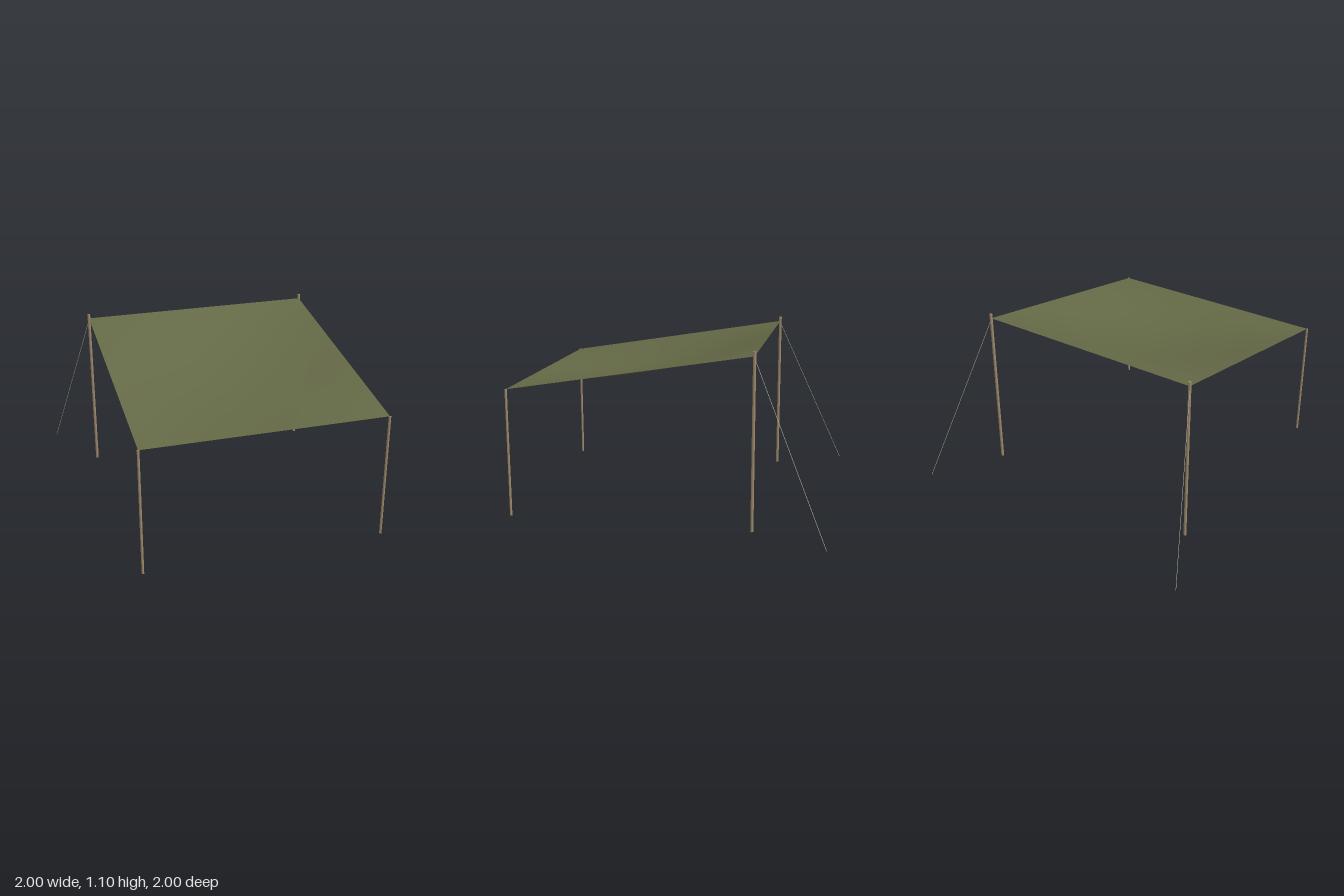
import * as THREE from 'three';

const HALF_W = 0.765, Z_FRONT = 0.99, Z_BACK = -0.54;
const Y_FRONT = 0.815, Y_BACK = 1.07, SAG = 0.092;

export function createModel() {
  const cloth = new THREE.MeshStandardMaterial({ color: 0x646946, side: THREE.DoubleSide });
  cloth.name = 'olive cloth';
  const wood = new THREE.MeshStandardMaterial({ color: 0xa08a6c });
  wood.name = 'tan wood';
  const cord = new THREE.MeshStandardMaterial({ color: 0xc0b8a2 });
  cord.name = 'pale cord';

  const model = new THREE.Group();
  model.name = 'tarpShelter';

  // A round bar between two points
  const bar = (name, from, to, radius, sides, material) => {
    const dir = to.clone().sub(from);
    const mesh = new THREE.Mesh(new THREE.CylinderGeometry(radius, radius, dir.length(), sides), material);
    mesh.position.copy(from).add(to).multiplyScalar(0.5);
    mesh.quaternion.setFromUnitVectors(new THREE.Vector3(0, 1, 0), dir.normalize());
    mesh.name = name;
    model.add(mesh);
  };

  // Sloping sheet: straight edges, sagging towards the middle
  const sheet = new THREE.PlaneGeometry(1, 1, 14, 14);
  const p = sheet.attributes.position;
  for (let i = 0; i < p.count; i++) {
    const u = p.getX(i) + 0.5, v = p.getY(i) + 0.5; // v: 0 front, 1 back
    const sag = SAG * Math.sin(Math.PI * u) * Math.sin(Math.PI * v);
    p.setXYZ(i, (u * 2 - 1) * HALF_W,
      THREE.MathUtils.lerp(Y_FRONT, Y_BACK, v) - sag,
      THREE.MathUtils.lerp(Z_FRONT, Z_BACK, v));
  }
  sheet.computeVertexNormals();
  const canopy = new THREE.Mesh(sheet, cloth);
  canopy.name = 'canopy';
  model.add(canopy);

  // Poles and guy lines, mirrored
  for (const [side, s] of [['left', 1], ['right', -1]]) {
    const at = (x, y, z) => new THREE.Vector3(s * x, y, z);
    bar(side + 'FrontPole', at(HALF_W, 0, Z_FRONT), at(HALF_W, Y_FRONT, Z_FRONT), 0.008, 8, wood);
    bar(side + 'BackPole', at(HALF_W, 0, Z_BACK), at(HALF_W, 1.1, Z_BACK), 0.0095, 8, wood);
    bar(side + 'GuyLine', at(HALF_W, 1.06, Z_BACK), at(0.998, 0.001, -0.998), 0.0016, 5, cord);
  }
  return model;
}
